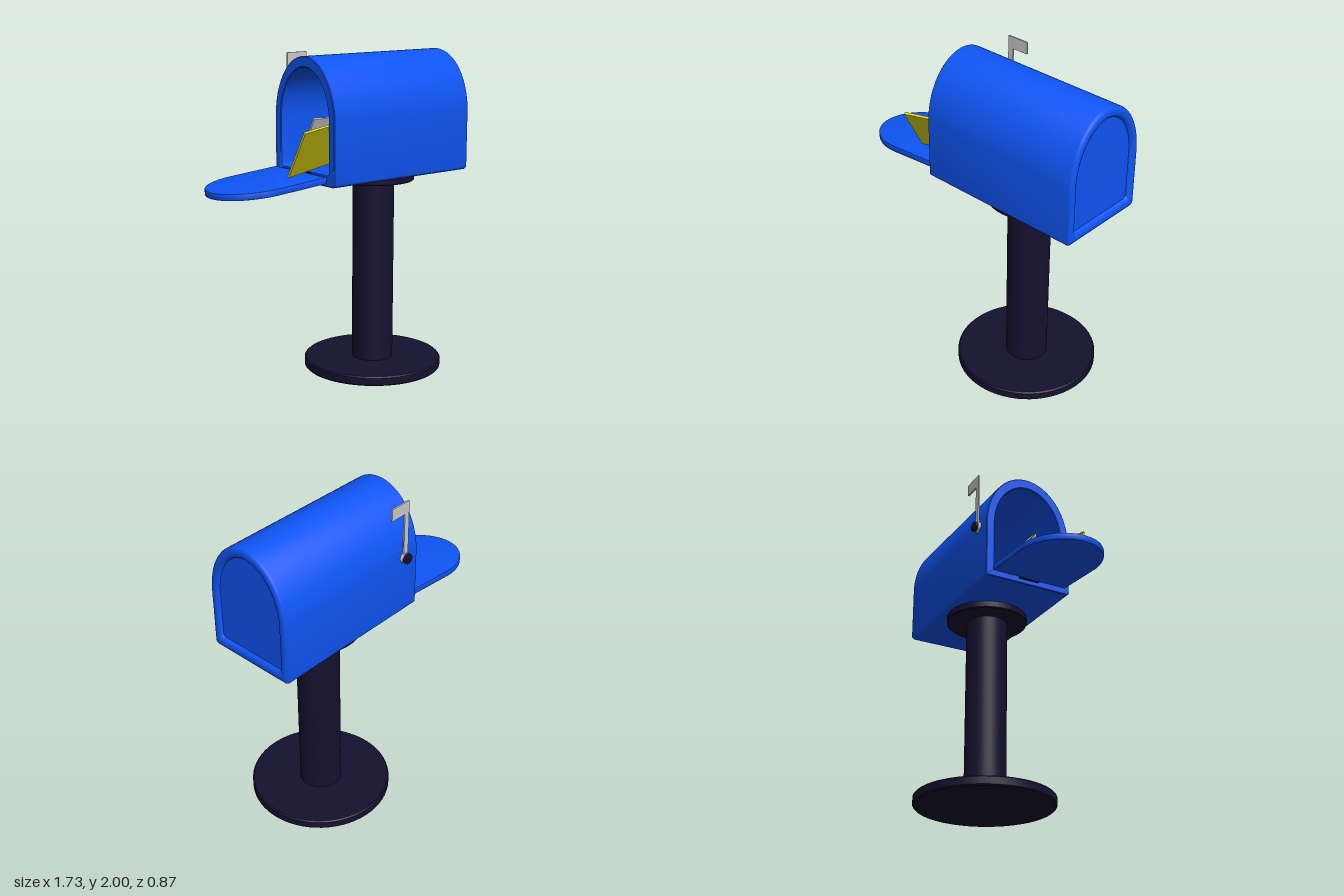
import * as THREE from 'three';
import { toCreasedNormals } from 'three/addons/utils/BufferGeometryUtils.js';

const paint = (color) => new THREE.MeshStandardMaterial({ color });
const blue = paint(0x0f55f5), dark = paint(0x15112f), yellow = paint(0xe8dc12), grey = paint(0xcccccc);

function part(parent, name, geometry, material) {
  const mesh = new THREE.Mesh(geometry, material);
  mesh.name = name;
  parent.add(mesh);
  return mesh;
}

// Upright round part with softened rims
function disc(radius, y0, y1, bevel) {
  const p = [[0, y0], [radius - bevel, y0], [radius, y0 + bevel], [radius, y1 - bevel], [radius - bevel, y1], [0, y1]];
  return toCreasedNormals(new THREE.LatheGeometry(p.map(([x, y]) => new THREE.Vector2(x, y)), 64), 0.6);
}

// Arched outline of the box as [z, y], moved inwards by inset
function arch(inset) {
  const hw = 0.29 - inset, bottom = 1.255 + inset * 1.2, top = 2 - inset * 1.2, spring = 1.62, r = 0.02;
  const points = [];
  const arc = (cz, cy, rz, ry, from, to, steps) => {
    for (let i = 0; i <= steps; i++) {
      const a = THREE.MathUtils.degToRad(from + (to - from) * i / steps);
      points.push([cz + rz * Math.cos(a), cy + ry * Math.sin(a)]);
    }
  };
  arc(-hw + r, bottom + r, r, r, 270, 180, 4);
  arc(0, spring, hw, top - spring, 180, 0, 40);
  arc(hw - r, bottom + r, r, r, 0, -90, 4);
  return points;
}

// Skin the arch through [x, inset] stations and close both ends
function loftArch(stations) {
  const positions = [], index = [];
  const n = arch(0).length;
  for (const [x, inset] of stations) for (const [z, y] of arch(inset)) positions.push(x, y, z);
  const first = stations.length * n, last = first + 1;
  positions.push(stations[0][0], 1.62, 0, stations.at(-1)[0], 1.62, 0);
  for (let j = 0; j < n; j++) {
    const k = (j + 1) % n;
    for (let s = 0; s < stations.length - 1; s++) {
      const a = s * n, b = a + n;
      index.push(a + j, a + k, b + k, a + j, b + k, b + j);
    }
    const e = (stations.length - 1) * n;
    index.push(first, k, j, e + j, e + k, last);
  }
  const geometry = new THREE.BufferGeometry();
  geometry.setAttribute('position', new THREE.Float32BufferAttribute(positions, 3));
  geometry.setIndex(index);
  return toCreasedNormals(geometry, 0.6);
}

// Envelope from its lower outer corner, length direction and height direction
function envelope(name, material, corner, along, up, length) {
  const group = new THREE.Group();
  group.name = name;
  const u = new THREE.Vector3(...along).normalize();
  const v = new THREE.Vector3(...up);
  const height = v.length();
  const n = new THREE.Vector3().crossVectors(u, v).normalize();
  v.crossVectors(n, u);
  group.matrix.makeBasis(u, v, n).setPosition(...corner);
  group.matrix.decompose(group.position, group.quaternion, group.scale);
  const body = part(group, name + 'Body', new THREE.BoxGeometry(length, height, 0.012), material);
  body.position.set(length / 2, height / 2, 0);
  const flap = new THREE.Shape([[0, height], [length / 2, height * 0.42], [length, height]].map((p) => new THREE.Vector2(...p)));
  const flapMesh = part(group, name + 'Flap', new THREE.ExtrudeGeometry(flap, { depth: 0.004, bevelEnabled: false }), material);
  flapMesh.position.z = -0.01;
  return group;
}

export function createModel() {
  const model = new THREE.Group();
  model.name = 'mailbox';

  // Stand
  const stand = new THREE.Group();
  stand.name = 'stand';
  stand.position.x = 0.33;
  model.add(stand);
  part(stand, 'base', disc(0.435, 0, 0.06, 0.008), dark);
  part(stand, 'post', disc(0.13, 0.05, 1.215, 0.004), dark);
  part(stand, 'mountingPlate', disc(0.255, 1.212, 1.265, 0.006), dark);

  // Hollow box: inner back wall, opening rim, outer skin, rounded end, recessed end panel
  part(model, 'box', loftArch([
    [0.81, 0.055], [-0.205, 0.055], [-0.21, 0.05], [-0.21, 0.004], [-0.206, 0],
    [0.845, 0], [0.855, 0.003], [0.862, 0.01], [0.865, 0.02],
    [0.865, 0.036], [0.861, 0.045], [0.852, 0.053], [0.843, 0.056],
  ]), blue);

  // Open door, arched at its far end
  const door = new THREE.Shape();
  const bevel = 0.005, hw = 0.25 - bevel, end = 0.637 - bevel, straight = 0.33;
  door.moveTo(-hw, bevel);
  door.lineTo(hw, bevel);
  door.lineTo(hw, straight);
  door.absellipse(0, straight, hw, end - straight, 0, Math.PI, false, 0);
  door.lineTo(-hw, bevel);
  const doorGeometry = new THREE.ExtrudeGeometry(door, {
    depth: 0.03, bevelSize: bevel, bevelThickness: bevel, bevelSegments: 2, curveSegments: 40,
  });
  const slope = 0.08;
  const c = Math.cos(slope), s = Math.sin(slope);
  doorGeometry.applyMatrix4(new THREE.Matrix4().makeBasis(
    new THREE.Vector3(0, 0, 1), new THREE.Vector3(-c, -s, 0), new THREE.Vector3(s, -c, 0),
  ).setPosition(-0.235, 1.315, -0.005));
  part(model, 'door', toCreasedNormals(doorGeometry, 0.6), blue);

  // Hinge
  const hinge = part(model, 'hinge', new THREE.BoxGeometry(0.06, 0.035, 0.13), dark);
  hinge.position.set(-0.228, 1.302, -0.003);
  hinge.rotation.z = slope;
  const pin = part(model, 'hingePin', new THREE.CylinderGeometry(0.022, 0.022, 0.13, 20), dark);
  pin.rotation.x = Math.PI / 2;
  pin.position.set(-0.225, 1.3, -0.003);

  // Signal flag
  const flag = new THREE.Group();
  flag.name = 'flag';
  flag.position.set(-0.097, 1.63, -0.29);
  model.add(flag);
  const outline = [[-0.018, 0], [0.018, 0], [0.018, 0.295], [0.127, 0.295], [0.127, 0.37], [-0.018, 0.37]];
  const arm = part(flag, 'flagArm', new THREE.ExtrudeGeometry(
    new THREE.Shape(outline.map((p) => new THREE.Vector2(...p))), { depth: 0.01, bevelEnabled: false }), grey);
  arm.position.z = -0.012;
  for (const [name, radius, depth, z, material] of [
    ['flagHub', 0.035, 0.024, -0.006, grey], ['flagKnob', 0.031, 0.018, -0.026, dark],
  ]) {
    const mesh = part(flag, name, new THREE.CylinderGeometry(radius, radius, depth, 32), material);
    mesh.rotation.x = Math.PI / 2;
    mesh.position.z = z;
  }

  // Letters leaning in the opening
  model.add(envelope('yellowEnvelope', yellow, [-0.428, 1.325, 0.133], [1, 0.09, -0.23], [0, 0.27, 0.15], 0.55));
  model.add(envelope('whiteEnvelope', grey, [-0.215, 1.37, -0.04], [1, -0.06, -0.08], [0, 0.27, 0.11], 0.5));
  return model;
}
